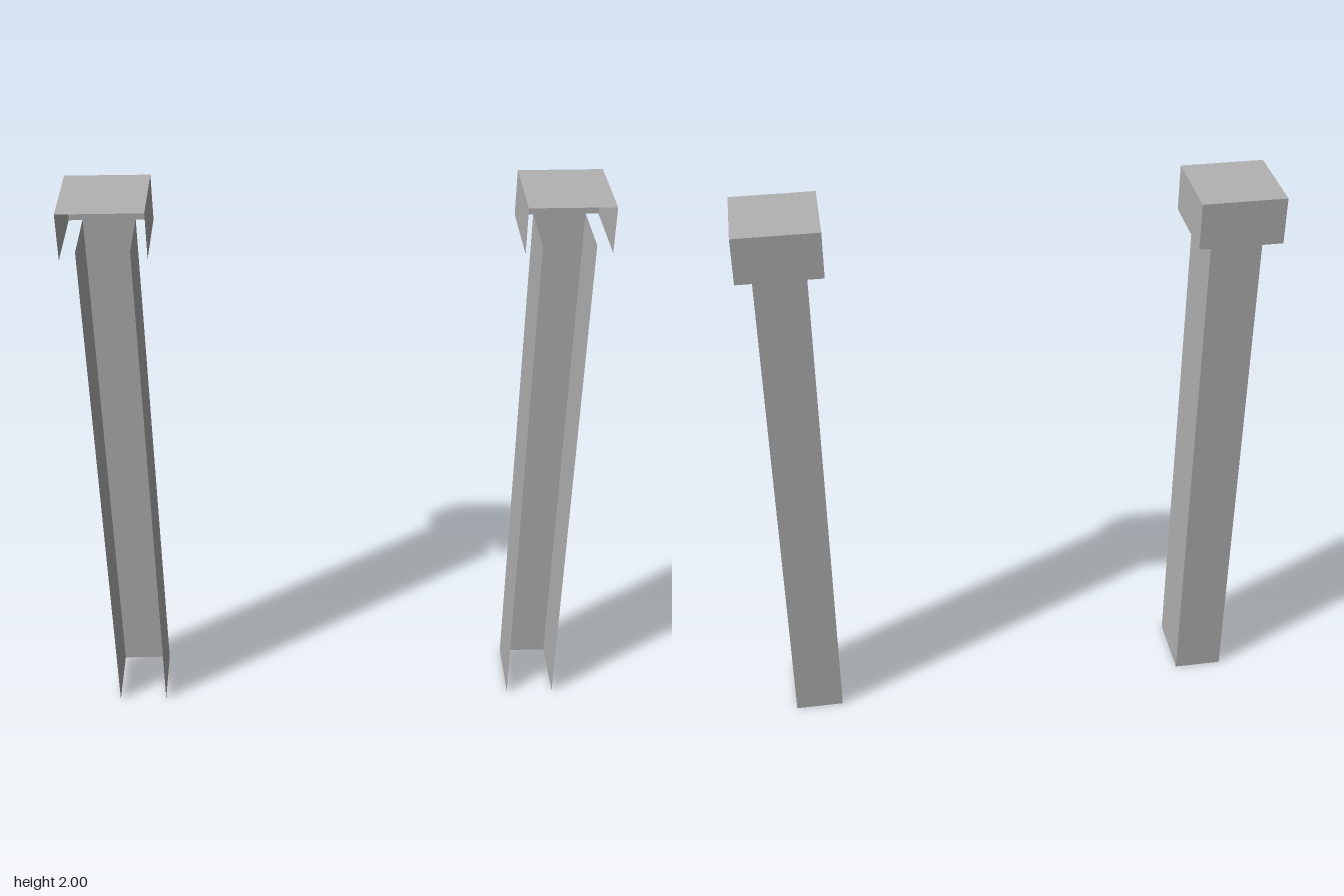
import * as THREE from 'three';

const grey = new THREE.MeshStandardMaterial({ color: 0xb2b2b2, side: THREE.DoubleSide });
grey.name = 'plain grey';

// Flat sheet centred on its position, optionally turned about x or y
function sheet(name, w, h, x, y, z, rx = 0, ry = 0) {
  const mesh = new THREE.Mesh(new THREE.PlaneGeometry(w, h), grey);
  mesh.name = name;
  mesh.position.set(x, y, z);
  mesh.rotation.set(rx, ry, 0);
  return mesh;
}

// Three walls around an open front, with no top or bottom
function channel(name, width, y0, y1, zBack, zFront) {
  const group = new THREE.Group();
  group.name = name;
  const h = y1 - y0, y = (y0 + y1) / 2, depth = zFront - zBack, z = (zBack + zFront) / 2;
  group.add(sheet(name + 'Back', width, h, 0, y, zBack, 0, Math.PI));
  for (const side of [-1, 1]) {
    group.add(sheet(name + (side > 0 ? 'LeftWall' : 'RightWall'), depth, h, side * width / 2, y, z, 0, side * Math.PI / 2));
  }
  return group;
}

export function createModel() {
  const model = new THREE.Group();
  model.name = 'pillarPair';
  for (const side of [-1, 1]) {
    const pillar = new THREE.Group();
    pillar.name = side > 0 ? 'leftPillar' : 'rightPillar';
    pillar.position.x = side * 0.727;

    // Hollow shaft
    pillar.add(channel('shaft', 0.17, 0, 1.87, -0.092, 0.141));

    // Wider capital, closed only on top
    const capital = channel('capital', 0.275, 1.843, 2, -0.141, 0.141);
    capital.add(sheet('capitalTop', 0.275, 0.282, 0, 2, 0, -Math.PI / 2));
    pillar.add(capital);

    model.add(pillar);
  }
  return model;
}
